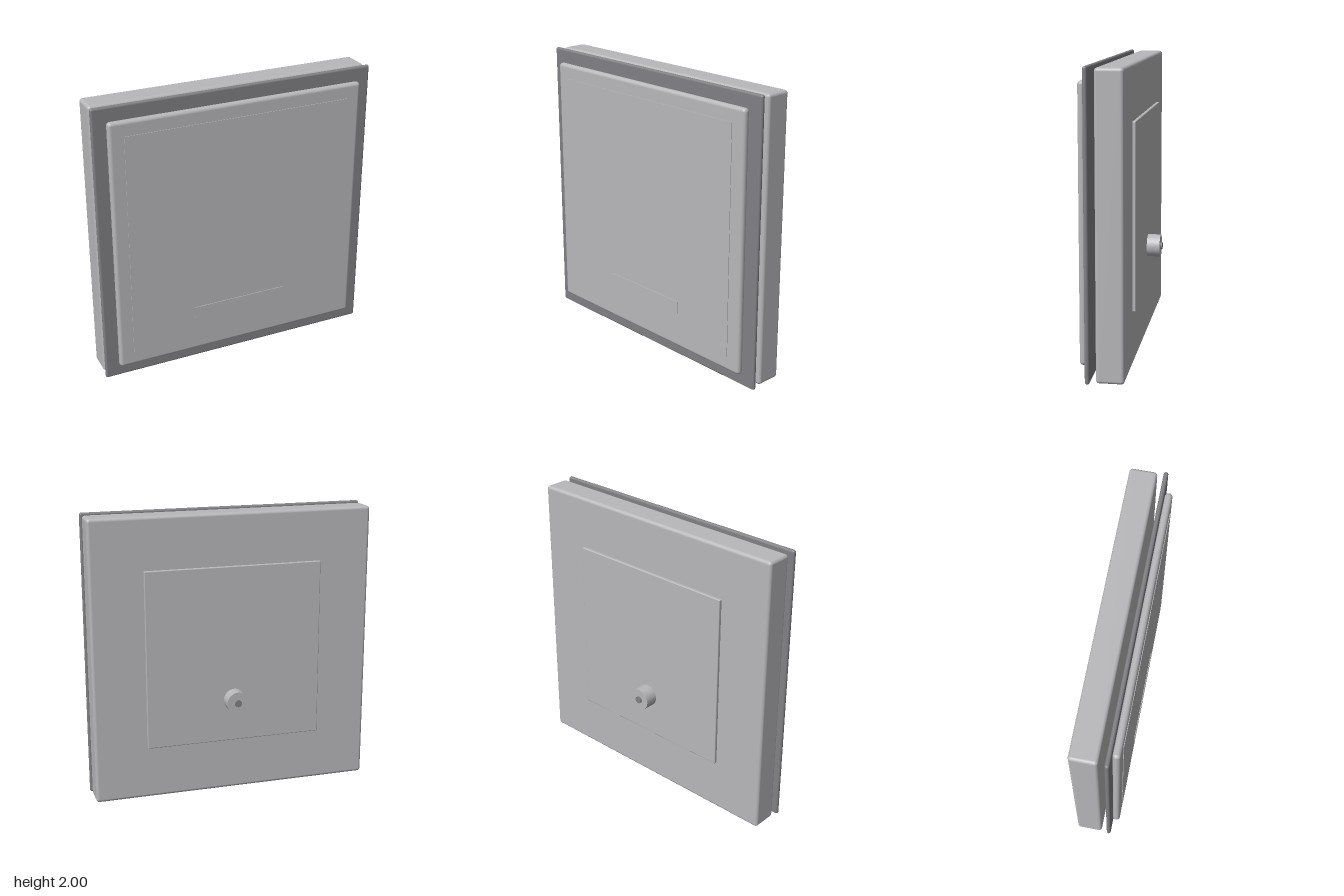
import * as THREE from 'three';
import { RoundedBoxGeometry } from 'three/addons/geometries/RoundedBoxGeometry.js';

const lightGrey = new THREE.MeshStandardMaterial({ name: 'lightGrey', color: 0xb8b8bb });
const darkGrey = new THREE.MeshStandardMaterial({ name: 'darkGrey', color: 0x818185 });

export function createModel() {
  const group = new THREE.Group();

  const add = (name, geometry, material, x, y, z) => {
    const mesh = new THREE.Mesh(geometry, material);
    mesh.name = name;
    mesh.position.set(x, y, z);
    group.add(mesh);
    return mesh;
  };

  // Slab centred on x, spanning y0..y1 and z0..z1; radius 0 gives sharp edges
  const slab = (name, width, y0, y1, z0, z1, radius, material) => {
    const h = y1 - y0, d = z1 - z0;
    const geometry = radius
      ? new RoundedBoxGeometry(width, h, d, 4, radius)
      : new THREE.BoxGeometry(width, h, d);
    return add(name, geometry, material, 0, (y0 + y1) / 2, (z0 + z1) / 2);
  };

  // Cylinder along z, from z0 to z1
  const peg = (name, radius, y, z0, z1, material) => {
    const geometry = new THREE.CylinderGeometry(radius, radius, z1 - z0, 32).rotateX(Math.PI / 2);
    return add(name, geometry, material, 0, y, (z0 + z1) / 2);
  };

  // Main housing and the separate front plates
  slab('housing', 1.985, 0.008, 1.992, -0.094, 0.089, 0.022, lightGrey);
  slab('frame', 2, 0, 2, 0.128, 0.158, 0.0145, darkGrey);
  slab('frontPanel', 1.815, 0.093, 1.907, 0.157, 0.208, 0.024, lightGrey);

  // Thin raised details on the front panel
  slab('facePlate', 1.61, 0.195, 1.805, 0.204, 0.212, 0, lightGrey);
  slab('labelStrip', 0.685, 0.355, 0.44, 0.209, 0.217, 0, lightGrey);

  // Back cover with its knob and shaft
  slab('backCover', 1.25, 0.378, 1.63, -0.115, -0.09, 0.006, lightGrey);
  peg('knob', 0.078, 0.68, -0.205, -0.11, lightGrey);
  peg('knobShaft', 0.025, 0.68, -0.217, -0.2, darkGrey);

  return group;
}
